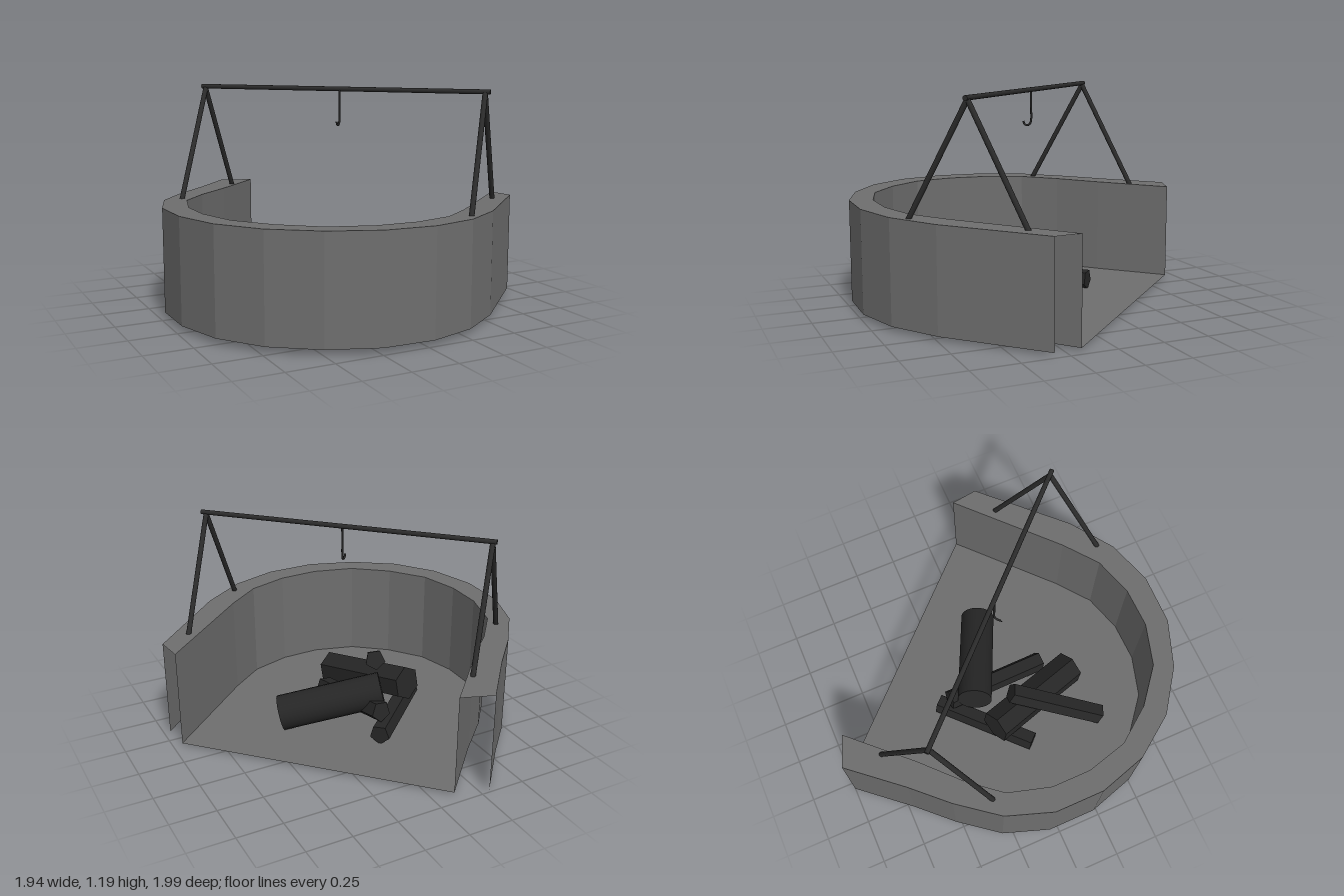
import * as THREE from 'three';

const stone = new THREE.MeshStandardMaterial({ color: 0x6e6e6e, flatShading: true, side: THREE.DoubleSide });
stone.name = 'stone grey';
const iron = new THREE.MeshStandardMaterial({ color: 0x2b2b2b });
iron.name = 'iron';
const char = new THREE.MeshStandardMaterial({ color: 0x262626 });
char.name = 'charred wood';
const charFlat = char; // one colour for every log

// Wall plan: [outer x, outer z, inner x, inner z], from one open end to the other
const plan = [
  [-0.29, -1.0, -0.12, -0.935], [-0.53, -0.72, -0.42, -0.62], [-0.71, -0.53, -0.62, -0.43],
  [-0.88, -0.31, -0.77, -0.25], [-0.97, -0.05, -0.84, -0.01], [-0.97, 0.23, -0.84, 0.21],
  [-0.89, 0.5, -0.78, 0.44], [-0.73, 0.725, -0.635, 0.635], [-0.5, 0.89, -0.445, 0.79],
  [-0.24, 0.985, -0.21, 0.86], [0.04, 0.99, 0.015, 0.857], [0.3, 0.91, 0.24, 0.79],
  [0.54, 0.745, 0.43, 0.645], [0.97, 0.32, 0.95, 0.17],
];

// The pit leans slightly down toward its open side
const lean = (x, z) => (x - z) / Math.SQRT2;
const topY = (x, z) => 0.584 - 0.019 * lean(x, z);
const baseY = (x, z) => 0.031 - 0.012 * lean(x, z);

// Hollow wall: outer face, rim and inner face, open below and at the ends
function wallGeometry() {
  const pos = [];
  const section = ([ox, oz, ix, iz]) => [
    [ox, baseY(ox, oz), oz], [ox, topY(ox, oz), oz],
    [ix, topY(ix, iz), iz], [ix, baseY(ix, iz), iz],
  ];
  for (let i = 0; i < plan.length - 1; i++) {
    const a = section(plan[i]), b = section(plan[i + 1]);
    for (let j = 0; j < 3; j++) {
      pos.push(...a[j], ...b[j], ...b[j + 1], ...a[j], ...b[j + 1], ...a[j + 1]);
    }
  }
  const g = new THREE.BufferGeometry();
  g.setAttribute('position', new THREE.Float32BufferAttribute(pos, 3));
  g.computeVertexNormals();
  return g;
}

// Floor follows the inner line of the wall
function floorGeometry() {
  const shape = new THREE.Shape(plan.map(p => new THREE.Vector2(p[2], p[3])));
  const g = new THREE.ShapeGeometry(shape).rotateX(Math.PI / 2);
  const p = g.attributes.position;
  for (let i = 0; i < p.count; i++) p.setY(i, baseY(p.getX(i), p.getZ(i)));
  g.computeVertexNormals();
  return g;
}

// Straight rod or log between two points
function rod(name, from, to, radius, sides, material, flat = false, roll = 0) {
  const a = new THREE.Vector3(...from), b = new THREE.Vector3(...to);
  let g = new THREE.CylinderGeometry(radius, radius, a.distanceTo(b), sides);
  g.rotateY(roll);
  if (flat) {
    g = g.toNonIndexed();
    g.computeVertexNormals();
  }
  const m = new THREE.Mesh(g, material);
  m.name = name;
  m.position.copy(a).add(b).multiplyScalar(0.5);
  m.quaternion.setFromUnitVectors(new THREE.Vector3(0, 1, 0), b.sub(a).normalize());
  return m;
}

export function createModel() {
  const model = new THREE.Group();
  model.name = 'firePit';
  const add = (name, geometry, material) => {
    const m = new THREE.Mesh(geometry, material);
    m.name = name;
    model.add(m);
  };
  add('wall', wallGeometry(), stone);
  add('floor', floorGeometry(), stone);

  // Cooking frame: two A-shaped supports and a crossbar
  const frame = new THREE.Group();
  frame.name = 'cookingFrame';
  frame.add(rod('crossbar', [-0.555, 1.19, -0.577], [0.6, 1.187, 0.614], 0.013, 12, iron));
  const supports = [
    { apex: [-0.54, 1.18, -0.56], feet: [[-0.305, 0.57, -0.78], [-0.775, 0.58, -0.325]] },
    { apex: [0.58, 1.18, 0.595], feet: [[0.805, 0.565, 0.375], [0.345, 0.575, 0.83]] },
  ];
  for (const s of supports) for (const foot of s.feet) frame.add(rod('frameLeg', foot, s.apex, 0.014, 12, iron));

  // Hook hanging from the middle of the bar
  const path = new THREE.CatmullRomCurve3([
    [0.02, 1.185, 0.027], [0.02, 1.1, 0.027], [0.02, 1.02, 0.027], [0.014, 0.998, 0.034],
    [0.002, 0.993, 0.045], [-0.009, 0.999, 0.055], [-0.013, 1.015, 0.058],
  ].map(p => new THREE.Vector3(...p)));
  const hook = new THREE.Mesh(new THREE.TubeGeometry(path, 32, 0.006, 8), iron);
  hook.name = 'hook';
  frame.add(hook);
  model.add(frame);

  // Pile of burnt logs: one round, the rest split with few sides
  const logs = new THREE.Group();
  logs.name = 'logs';
  logs.add(
    rod('roundLog', [0.39, 0.115, 0.08], [-0.13, 0.25, -0.16], 0.1, 20, char),
    rod('floorLog', [-0.015, 0.08, -0.345], [-0.455, 0.08, 0.075], 0.058, 5, charFlat, true, 0.4),
    rod('backLog', [-0.055, 0.19, -0.29], [-0.01, 0.075, 0.32], 0.06, 5, charFlat, true, 0.2),
    rod('wideLog', [-0.325, 0.22, -0.115], [-0.13, 0.11, 0.465], 0.1, 6, charFlat, true, 0.3),
    rod('topLog', [-0.2, 0.33, 0.04], [-0.46, 0.07, 0.51], 0.06, 5, charFlat, true, 0.6),
  );
  model.add(logs);
  return model;
}
